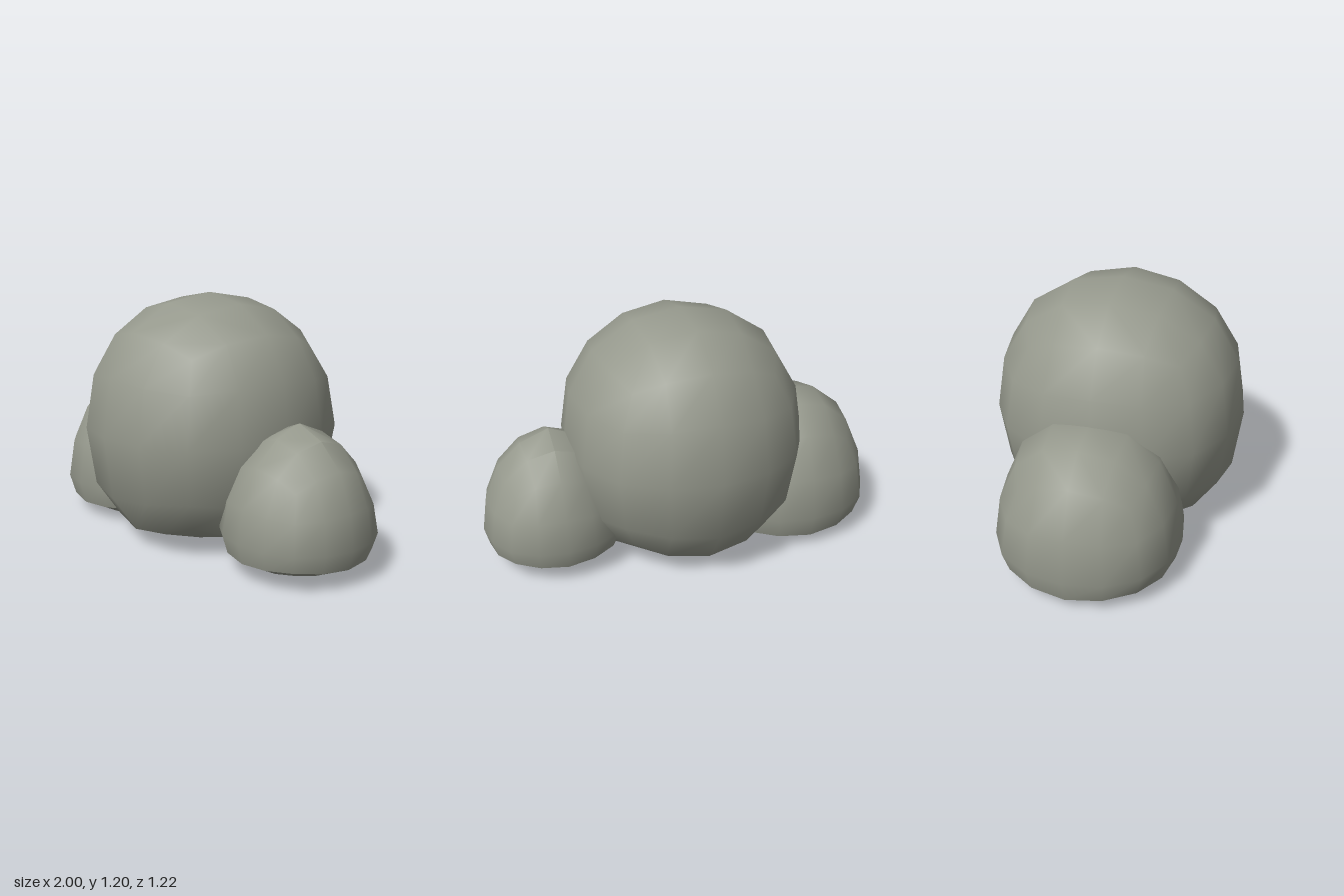
import * as THREE from 'three';
import { toCreasedNormals } from 'three/addons/utils/BufferGeometryUtils.js';

// Rounded-cube grid: coordinate of each vertex class, by grid level [0, half, full]
const ROUND = {
  '0,0,1': [0, 0, 1],
  '0,0.5,1': [0, 0.398, 0.933],
  '0.5,0.5,1': [0, 0.371, 0.87],
  '0,1,1': [0, 0, 0.732],
  '0.5,1,1': [0, 0.344, 0.682],
  '1,1,1': [0, 0, 0.579],
};

// Heights of a boulder are given at these unit levels
const LEVELS = [-1, -0.933, -0.732, -0.398, 0, 0.398, 0.732, 0.933, 1];

function heightAt(v, heights) {
  let i = 0;
  while (i < LEVELS.length - 2 && v > LEVELS[i + 1]) i++;
  const t = (v - LEVELS[i]) / (LEVELS[i + 1] - LEVELS[i]);
  return THREE.MathUtils.lerp(heights[i], heights[i + 1], t);
}

// Boulder: a subdivided cube rounded into a ball, with a flattened underside
function boulder(name, material, x, rx, rz, heights) {
  const geometry = new THREE.BoxGeometry(2, 2, 2, 4, 4, 4);
  const pos = geometry.attributes.position;
  for (let i = 0; i < pos.count; i++) {
    const p = [pos.getX(i), pos.getY(i), pos.getZ(i)].map((c) => Math.round(c * 2) / 2);
    const key = p.map(Math.abs).sort((a, b) => a - b).join(',');
    const [u, v, w] = p.map((c) => Math.sign(c) * ROUND[key][Math.abs(c) * 2]);
    pos.setXYZ(i, u * rx, heightAt(v, heights), w * rz);
  }
  geometry.deleteAttribute('uv');
  const mesh = new THREE.Mesh(toCreasedNormals(geometry, 0.68), material);
  mesh.name = name;
  mesh.position.x = x;
  return mesh;
}

export function createModel() {
  const group = new THREE.Group();
  group.name = 'boulderCluster';
  const stone = new THREE.MeshStandardMaterial({ color: 0x96998d });
  stone.name = 'greyStone';

  group.add(
    boulder('largeBoulder', stone, -0.008, 0.592, 0.608,
      [0.035, 0.045, 0.085, 0.26, 0.56, 0.835, 1.035, 1.16, 1.2]),
    boulder('mediumBoulder', stone, -0.565, 0.435, 0.436,
      [0.003, 0.01, 0.025, 0.065, 0.175, 0.38, 0.58, 0.69, 0.715]),
    boulder('smallBoulder', stone, 0.652, 0.348, 0.344,
      [0.04, 0.045, 0.058, 0.09, 0.18, 0.337, 0.507, 0.615, 0.67]),
  );
  return group;
}
